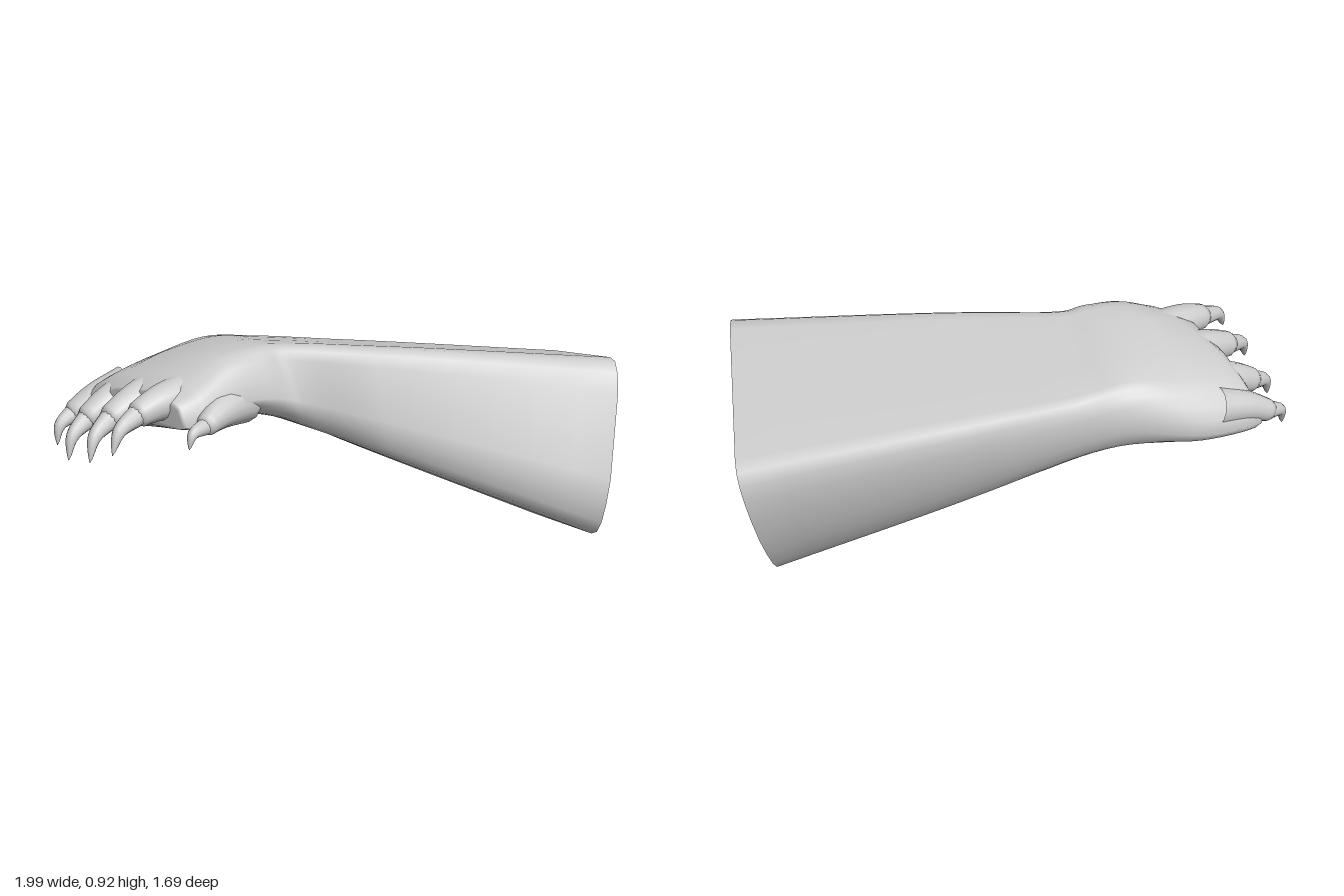
import * as THREE from 'three';

const V = (a) => new THREE.Vector3(...a);

// Skin a list of closed rings (arrays of Vector3); optionally close the last one to a point
function skin(rings, closeEnd) {
  const n = rings[0].length, pos = [], idx = [];
  rings.forEach((r) => r.forEach((p) => pos.push(p.x, p.y, p.z)));
  for (let i = 0; i < rings.length - 1; i++) {
    for (let j = 0; j < n; j++) {
      const a = i * n + j, b = i * n + (j + 1) % n;
      idx.push(a, b, a + n, b, b + n, a + n);
    }
  }
  if (closeEnd) {
    const last = rings[rings.length - 1], base = (rings.length - 1) * n;
    const c = last.reduce((s, p) => s.add(p), new THREE.Vector3()).divideScalar(n);
    pos.push(c.x, c.y, c.z);
    for (let j = 0; j < n; j++) idx.push(base + j, base + (j + 1) % n, base + n);
  }
  const g = new THREE.BufferGeometry();
  g.setAttribute('position', new THREE.Float32BufferAttribute(pos, 3));
  g.setIndex(idx);
  g.computeVertexNormals();
  return g;
}

// Round tube along a smooth path, with a radius rule
function taper(points, radius, steps = 10, sides = 14) {
  const curve = new THREE.CatmullRomCurve3(points), rings = [];
  for (let i = 0; i <= steps; i++) {
    const t = i / steps, p = curve.getPoint(t), T = curve.getTangent(t);
    const N = new THREE.Vector3(0, 1, 0).addScaledVector(T, -T.y).normalize();
    const B = new THREE.Vector3().crossVectors(T, N);
    rings.push(Array.from({ length: sides }, (_, j) => {
      const a = (j / sides) * Math.PI * 2, r = radius(t);
      return p.clone().addScaledVector(N, Math.cos(a) * r).addScaledVector(B, Math.sin(a) * r);
    }));
  }
  return skin(rings, true);
}

// Boxy section with bulging sides: one quarter, mirrored into a full loop
const QUARTER = [[1, 0], [0.98, 0.35], [0.94, 0.63], [0.88, 0.84], [0.8, 0.96], [0.68, 1], [0.3, 1]];
function boxySection() {
  const half = [...QUARTER, ...QUARTER.slice(1).reverse().map(([u, v]) => [-u, v])];
  return [...half, ...half.slice(1, -1).reverse().map(([u, v]) => [u, -v])];
}

// Stations from the open end to the knuckles:
// centre, half width, half height, [roundness, arch of the palm]
const STATIONS = [
  [[0.685, 0.43, 0.47], [0.235, -0.135, -0.36], [0.115, 0.31, -0.055], [0, 0, 0]],
  [[0.06, 0.648, -0.1], [0.164, -0.092, -0.27], [0.006, 0.205, -0.059], [0, 0, 0]],
  [[-0.15, 0.72, -0.29], [0.14, -0.075, -0.24], [-0.03, 0.17, -0.06], [0.1, 0, 0]],
  [[-0.3, 0.76, -0.375], [0.09, -0.065, -0.285], [-0.03, 0.15, -0.04], [0.4, 0.01, 0]],
  [[-0.5, 0.74, -0.46], [0.04, -0.09, -0.335], [-0.02, 0.125, -0.02], [0.8, 0.04, 0]],
  [[-0.68, 0.7, -0.495], [0.0, -0.07, -0.35], [0, 0.105, 0], [0.9, 0.055, 0]],
  [[-0.745, 0.69, -0.495], [0.02, -0.07, -0.31], [0, 0.065, 0], [1, 0.06, 0]],
];

function armGeometry() {
  const tracks = [0, 1, 2, 3].map((k) => new THREE.CatmullRomCurve3(STATIONS.map((s) => V(s[k]))));
  const section = boxySection(), steps = 36, rings = [];
  for (let i = 0; i <= steps; i++) {
    const [c, w, h, shape] = tracks.map((t) => t.getPoint(i / steps));
    rings.push(section.map(([u0, v0]) => {
      // blend the boxy outline towards an ellipse
      const a = Math.atan2(v0, u0);
      const u = THREE.MathUtils.lerp(u0, Math.cos(a), shape.x);
      const v = -THREE.MathUtils.lerp(v0, Math.sin(a), shape.x);
      const p = c.clone().addScaledVector(w, u).addScaledVector(h, v);
      p.y += shape.y * (1 - u * u);
      return p;
    }));
  }
  return skin(rings, true);
}

// Digits: root inside the paw, end of the flesh, claw tip, root radius, end radius
const DIGITS = [
  ['firstFinger', [-0.6, 0.8, -0.33], [-0.87, 0.785, -0.345], [-1.0, 0.68, -0.325], 0.085, 0.046],
  ['secondFinger', [-0.6, 0.78, -0.48], [-0.87, 0.73, -0.492], [-0.99, 0.61, -0.46], 0.085, 0.046],
  ['thirdFinger', [-0.6, 0.74, -0.63], [-0.83, 0.67, -0.665], [-0.937, 0.55, -0.64], 0.08, 0.044],
  ['fourthFinger', [-0.55, 0.71, -0.74], [-0.77, 0.635, -0.815], [-0.852, 0.54, -0.8], 0.075, 0.04],
  ['thumb', [-0.46, 0.76, -0.22], [-0.715, 0.745, -0.15], [-0.8, 0.69, -0.14], 0.09, 0.036],
];

export function createModel() {
  const model = new THREE.Group();
  model.name = 'clawedForearm';
  const skinMat = new THREE.MeshStandardMaterial({ color: 0xcccccc });
  const openMat = new THREE.MeshStandardMaterial({ color: 0xcccccc, side: THREE.DoubleSide });
  const add = (name, geometry, material, parent) => {
    const m = new THREE.Mesh(geometry, material);
    m.name = name;
    parent.add(m);
  };

  // Hollow forearm flowing into the paw
  add('forearmAndPaw', armGeometry(), openMat, model);

  // Fingers with hooked claws
  for (const [name, root, end, tip, r0, r1] of DIGITS) {
    const digit = new THREE.Group();
    digit.name = name;
    const a = V(root), b = V(end), c = V(tip);
    const knuckle = a.clone().lerp(b, 0.55);
    knuckle.y += 0.012;
    add(name + 'Flesh', taper([a, knuckle, b],
      (t) => THREE.MathUtils.lerp(r0, r1, t) * (t > 0.95 ? 0.8 : 1), 12), skinMat, digit);
    const start = b.clone().lerp(knuckle, 0.15);
    const bend = b.clone().lerp(c, 0.5).add(V([-0.018, 0.022, 0]));
    add(name + 'Claw', taper([start, bend, c],
      (t) => r1 * 0.88 * Math.pow(1 - t, 0.75) + 0.001, 10, 12), skinMat, digit);
    model.add(digit);
  }
  return model;
}
